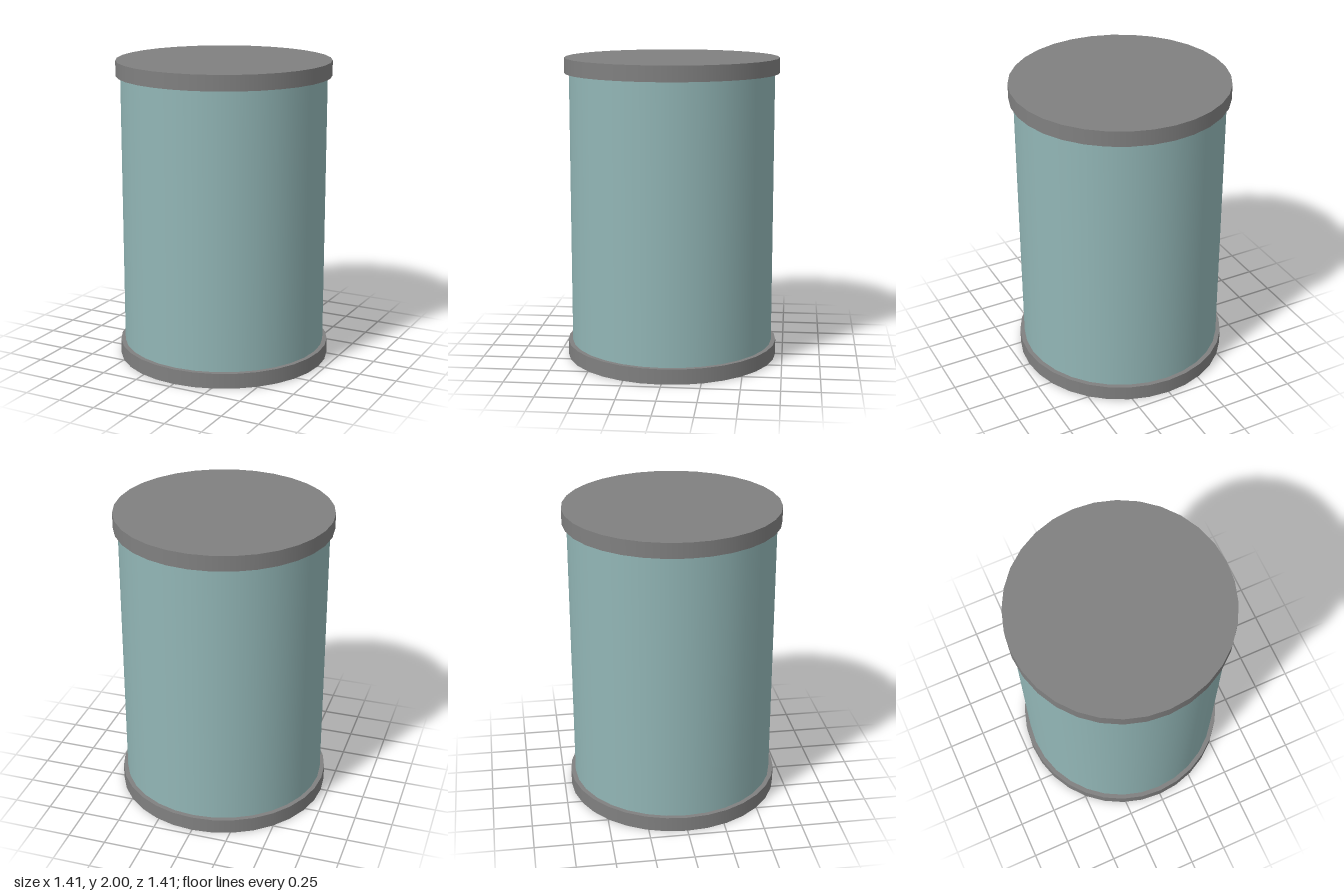
import * as THREE from 'three';

const SIDES = 32;

export function createModel() {
  const group = new THREE.Group();
  group.name = 'canister';

  const capGrey = new THREE.MeshStandardMaterial({ color: 0x808080 });
  capGrey.name = 'cap grey';
  const paleTeal = new THREE.MeshStandardMaterial({ color: 0x92b6b6 });
  paleTeal.name = 'pale teal';

  // Upright cylinder standing on the given base height
  const addCylinder = (name, radius, base, height, material) => {
    const mesh = new THREE.Mesh(
      new THREE.CylinderGeometry(radius, radius, height, SIDES), material);
    mesh.name = name;
    mesh.position.y = base + height / 2;
    group.add(mesh);
  };

  // Wide end caps with the slightly narrower body between them
  addCylinder('bottomCap', 0.703, 0, 0.1, capGrey);
  addCylinder('body', 0.673, 0.1, 1.8, paleTeal);
  addCylinder('topCap', 0.703, 1.9, 0.1, capGrey);

  return group;
}
